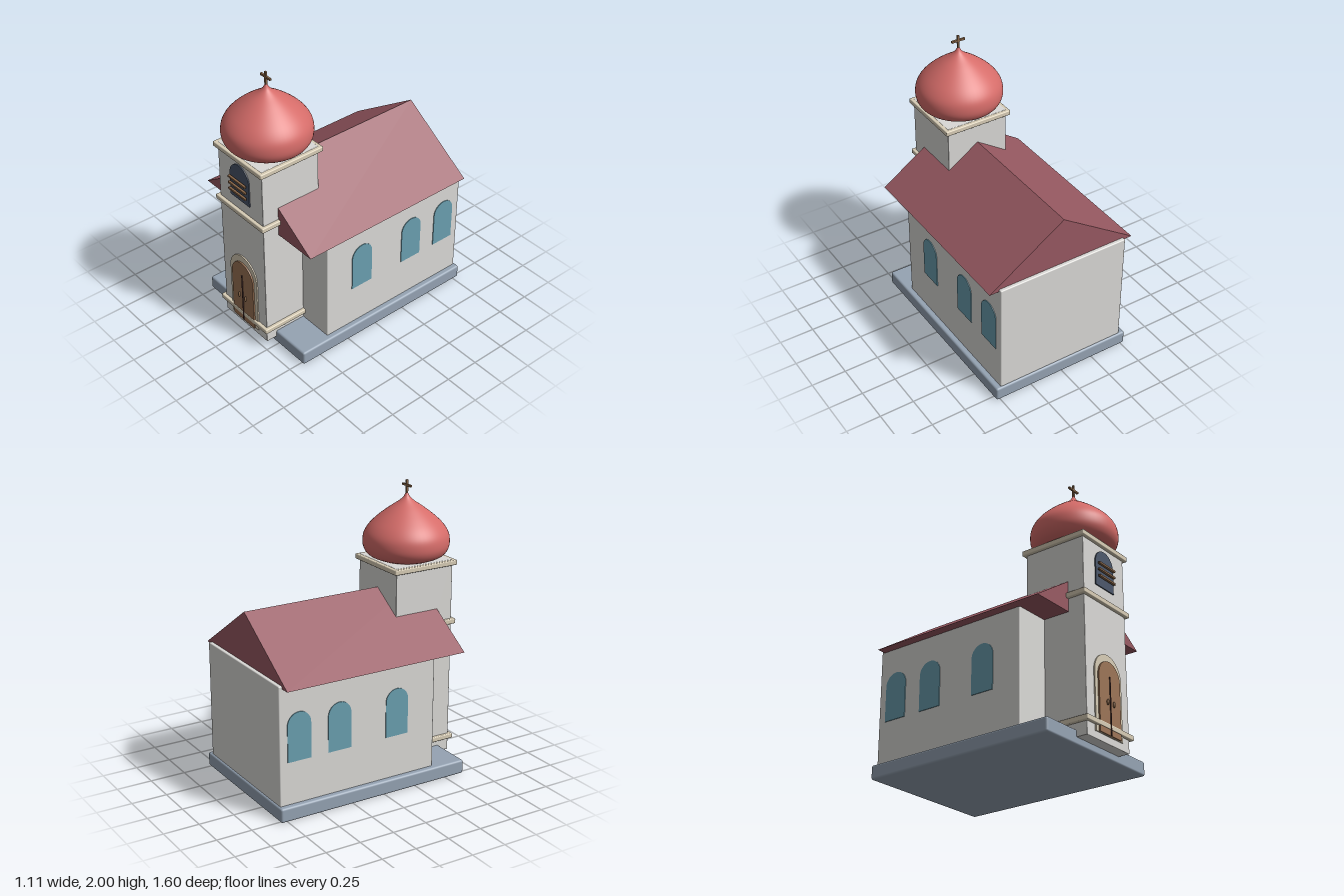
import * as THREE from 'three';
import { RoundedBoxGeometry } from 'three/addons/geometries/RoundedBoxGeometry.js';

const mat = (name, color) => {
  const m = new THREE.MeshStandardMaterial({ color });
  m.name = name;
  return m;
};

// Round-headed opening shape, standing on y = 0
function archShape(halfWidth, height) {
  const s = new THREE.Shape();
  s.moveTo(-halfWidth, 0);
  s.lineTo(halfWidth, 0);
  s.lineTo(halfWidth, height - halfWidth);
  s.absarc(0, height - halfWidth, halfWidth, 0, Math.PI, false);
  s.lineTo(-halfWidth, 0);
  return s;
}

const extrude = (shape, depth) =>
  new THREE.ExtrudeGeometry(shape, { depth, bevelEnabled: false, curveSegments: 20 });

export function createModel() {
  const model = new THREE.Group();
  model.name = 'church';

  const wall = mat('wall plaster', 0xdad9d6);
  const roofRed = mat('roof red', 0x985962);
  const domeRed = mat('dome red', 0xd56c69);
  const trim = mat('cream trim', 0xd8cdb6);
  const stone = mat('blue grey stone', 0x95a3b3);
  const wood = mat('door wood', 0x9c7456);
  const glass = mat('window glass', 0x6a9fb0);
  const night = mat('belfry dark', 0x4a566a);
  const iron = mat('dark iron', 0x4a2f2e);
  const bronze = mat('bronze brown', 0x876547);

  const add = (name, geometry, material, x = 0, y = 0, z = 0) => {
    const mesh = new THREE.Mesh(geometry, material);
    mesh.name = name;
    mesh.position.set(x, y, z);
    model.add(mesh);
    return mesh;
  };
  // Rounded box given by its limits
  const block = (name, material, x, y0, y1, z0, z1, r) =>
    add(name, new RoundedBoxGeometry(2 * x, y1 - y0, z1 - z0, 3, r), material,
      0, (y0 + y1) / 2, (z0 + z1) / 2);

  // Main masses
  block('base', stone, 0.528, 0, 0.1, -0.797, 0.65, 0.015);
  block('nave', wall, 0.488, 0.09, 0.93, -0.783, 0.412, 0.008);
  block('tower', wall, 0.23, 0.05, 1.463, 0.27, 0.73, 0.005);

  // Gabled roof
  const gable = new THREE.Shape();
  gable.moveTo(-0.557, 0);
  gable.lineTo(0.557, 0);
  gable.lineTo(0, 0.37);
  gable.closePath();
  add('roof', extrude(gable, 1.365), roofRed, 0, 0.912, -0.758);

  // Mouldings around the tower
  for (const y of [0.158, 1.022, 1.443]) {
    block('towerBand', trim, 0.253, y - 0.018, y + 0.018, 0.247, 0.753, 0.007);
  }

  // Nave windows on both sides
  for (const side of [-1, 1]) {
    for (const z of [0.11, -0.335, -0.638]) {
      const w = add('naveWindow', extrude(archShape(0.087, 0.337), 0.008), glass,
        side * 0.485, 0.398, z);
      w.rotation.y = side * Math.PI / 2;
    }
  }

  // Door with surround, centre gap and handles
  add('doorSurround', extrude(archShape(0.145, 0.552), 0.015), trim, 0, 0.098, 0.724);
  add('door', extrude(archShape(0.115, 0.5), 0.03), wood, 0, 0.1, 0.72);
  add('doorGap', new THREE.BoxGeometry(0.007, 0.396, 0.02), iron, 0, 0.299, 0.746);
  for (const side of [-1, 1]) {
    const handle = add('doorHandle', new THREE.SphereGeometry(0.01, 14, 10), bronze,
      side * 0.034, 0.316, 0.756);
    handle.scale.set(0.8, 2, 1);
  }

  // Belfry opening with slats
  add('belfryOpening', extrude(archShape(0.1, 0.272), 0.009), night, 0, 1.123, 0.729);
  for (const y of [1.187, 1.234, 1.281]) {
    add('belfrySlat', new THREE.BoxGeometry(0.176, 0.014, 0.016), bronze, 0, y, 0.756);
  }

  // Onion dome
  const profile = [
    [0.2, 1.463], [0.262, 1.492], [0.292, 1.535], [0.299, 1.585], [0.288, 1.64],
    [0.252, 1.695], [0.195, 1.75], [0.125, 1.805], [0.06, 1.85], [0.025, 1.88], [0.008, 1.91],
  ].map(([r, y]) => new THREE.Vector2(r, y));
  const points = new THREE.SplineCurve(profile).getPoints(44);
  points.unshift(new THREE.Vector2(0, 1.463));
  points.push(new THREE.Vector2(0, 1.912));
  add('dome', new THREE.LatheGeometry(points, 56), domeRed, 0, 0, 0.5);

  // Cross
  add('crossPost', new THREE.BoxGeometry(0.014, 0.12, 0.014), bronze, 0, 1.94, 0.5);
  add('crossBar', new THREE.BoxGeometry(0.1, 0.014, 0.014), bronze, 0, 1.963, 0.5);

  return model;
}
